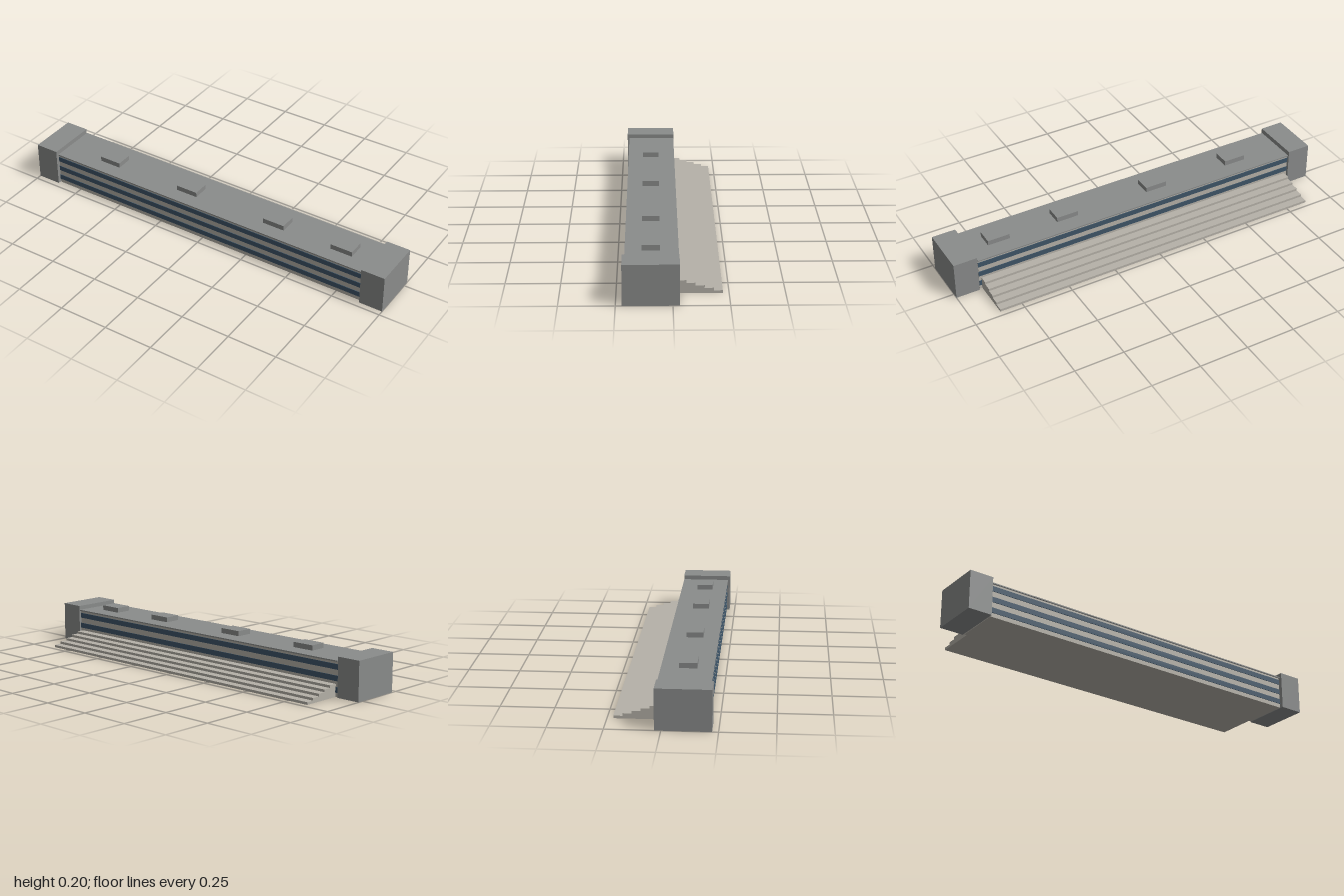
import * as THREE from 'three';

export function createModel() {
  const group = new THREE.Group();
  const material = (name, color) => {
    const m = new THREE.MeshStandardMaterial({ color });
    m.name = name;
    return m;
  };
  const concrete = material('grey concrete', 0x8a8c8b);
  const stone = material('pale stone', 0xb5b1a8);
  const glass = material('blue glass', 0x3e5568);

  // Box given by its low and high limits on each axis
  function block(name, mat, [x0, x1], [y0, y1], [z0, z1]) {
    const mesh = new THREE.Mesh(new THREE.BoxGeometry(x1 - x0, y1 - y0, z1 - z0), mat);
    mesh.position.set((x0 + x1) / 2, (y0 + y1) / 2, (z0 + z1) / 2);
    mesh.name = name;
    group.add(mesh);
  }

  // Long hall and its flat roof
  block('hall', stone, [-0.876, 0.876], [0, 0.166], [-0.022, 0.206]);
  block('roof', concrete, [-0.876, 0.876], [0.166, 0.172], [-0.029, 0.212]);

  // Window bands, front and back
  for (const y of [0.021, 0.075, 0.129]) {
    block('frontWindowBand', glass, [-0.876, 0.876], [y, y + 0.026], [0.205, 0.209]);
    block('backWindowBand', glass, [-0.876, 0.876], [y, y + 0.026], [-0.025, -0.021]);
  }

  // End towers
  for (const [name, x] of [['rightTower', -0.94], ['leftTower', 0.94]])
    block(name, concrete, [x - 0.06, x + 0.06], [0, 0.192], [-0.03, 0.222]);

  // Roof plant boxes
  for (const x of [-0.602, -0.137, 0.36, 0.728])
    block('roofUnit', concrete, [x - 0.057, x + 0.057], [0.172, 0.197], [0.055, 0.137]);

  // Wide stairs along the back, drawn as one stepped profile
  const edges = [-0.022, -0.062, -0.102, -0.142, -0.182, -0.222];
  const profile = new THREE.Shape();
  profile.moveTo(0.222, 0);
  for (let i = 5; i > 0; i--) {
    const y = (6 - i) * 0.0122;
    profile.lineTo(-edges[i], y);
    profile.lineTo(-edges[i - 1], y);
  }
  profile.lineTo(0.022, 0);
  const stairs = new THREE.Mesh(
    new THREE.ExtrudeGeometry(profile, { depth: 1.726, bevelEnabled: false }), stone);
  stairs.rotation.y = Math.PI / 2;
  stairs.position.x = -0.863;
  stairs.name = 'backStairs';
  group.add(stairs);

  return group;
}
